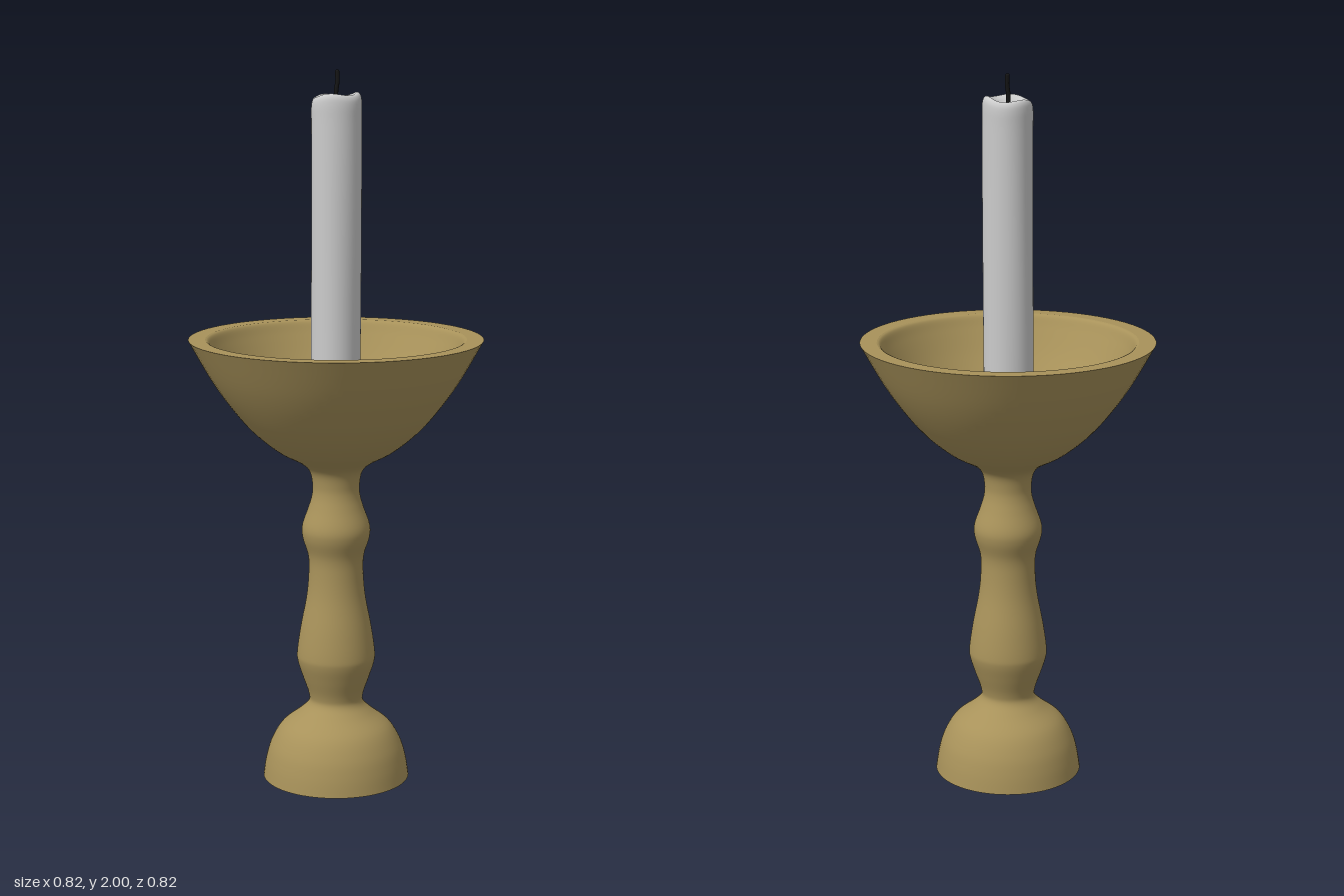
import * as THREE from 'three';

const brass = new THREE.MeshStandardMaterial({ color: 0xa8925a, side: THREE.DoubleSide });
const wax = new THREE.MeshStandardMaterial({ color: 0xcccccc });
const char = new THREE.MeshStandardMaterial({ color: 0x151515 });

// smooth turned surface through [radius, height] points
function turned(name, points, material, samples = 40, sides = 72) {
  const curve = new THREE.SplineCurve(points.map(([r, y]) => new THREE.Vector2(r, y)));
  const mesh = new THREE.Mesh(new THREE.LatheGeometry(curve.getPoints(samples), sides), material);
  mesh.name = name;
  return mesh;
}

export function createModel() {
  const model = new THREE.Group();
  model.name = 'candlestick';

  // holder: separate surfaces meet at the sharp edges
  const holder = new THREE.Group();
  holder.name = 'holder';
  holder.add(
    turned('footHollow', [[0, 0.16], [0.07, 0.15], [0.13, 0.115], [0.165, 0.06], [0.182, 0]], brass),
    turned('footRim', [[0.182, 0], [0.208, 0]], brass, 1),
    turned('footAndStem', [
      [0.208, 0], [0.2, 0.05], [0.185, 0.1], [0.155, 0.15], [0.105, 0.19], [0.078, 0.218],
      [0.078, 0.245], [0.095, 0.295], [0.109, 0.34], [0.11, 0.37], [0.1, 0.44], [0.083, 0.53],
      [0.077, 0.6], [0.079, 0.65], [0.094, 0.7], [0.095, 0.735], [0.078, 0.785], [0.068, 0.82],
      [0.066, 0.85], [0.074, 0.89], [0.1, 0.916], [0.165, 0.952], [0.235, 1.01], [0.295, 1.08],
      [0.35, 1.16], [0.409, 1.265],
    ], brass, 130),
    turned('bowlRim', [[0.409, 1.265], [0.362, 1.265]], brass, 1),
    turned('bowlInside', [
      [0.362, 1.265], [0.352, 1.258], [0.335, 1.225], [0.295, 1.155], [0.245, 1.085],
      [0.195, 1.03], [0.165, 1.007], [0.13, 1.0], [0, 1.0],
    ], brass, 60),
  );
  model.add(holder);

  // candle with a melted, uneven top and a slight lean
  const candle = turned('candle', [
    [0, 0.99], [0.069, 0.99], [0.069, 1.1], [0.069, 1.3], [0.069, 1.5], [0.069, 1.7], [0.069, 1.85],
    [0.069, 1.905], [0.065, 1.926], [0.056, 1.933], [0.045, 1.926], [0.034, 1.914], [0.016, 1.91], [0, 1.91],
  ], wax, 90, 48);
  const pos = candle.geometry.attributes.position;
  for (let i = 0; i < pos.count; i++) {
    const x = pos.getX(i), y = pos.getY(i), z = pos.getZ(i);
    const a = Math.atan2(x, z), r = Math.hypot(x, z);
    const melt = THREE.MathUtils.smoothstep(y, 1.86, 1.92) * Math.min(1, r / 0.05);
    const wobble = 1 + 0.012 * Math.sin(3 * a + y * 5);
    pos.setXYZ(i, x * wobble - 0.002,
      y + melt * (0.004 * Math.sin(a) + 0.004 * Math.sin(3 * a + 1)),
      z * wobble - 0.007 * (y - 0.99));
  }
  candle.geometry.computeVertexNormals();
  // blend normals across the lathe seam
  const nor = candle.geometry.attributes.normal, ring = 91;
  for (let j = 0; j < ring; j++) {
    const k = j + 48 * ring;
    const n = new THREE.Vector3().fromBufferAttribute(nor, j)
      .add(new THREE.Vector3().fromBufferAttribute(nor, k)).normalize();
    nor.setXYZ(j, n.x, n.y, n.z);
    nor.setXYZ(k, n.x, n.y, n.z);
  }
  model.add(candle);

  // bent wick with a closed tip
  const wickPath = new THREE.CatmullRomCurve3([
    [-0.004, 1.9, -0.01], [-0.005, 1.94, -0.008], [-0.003, 1.97, -0.012], [-0.005, 1.996, -0.014],
  ].map((p) => new THREE.Vector3(...p)));
  const wick = new THREE.Mesh(new THREE.TubeGeometry(wickPath, 12, 0.006, 10), char);
  wick.name = 'wick';
  const tip = new THREE.Mesh(new THREE.SphereGeometry(0.006, 10, 8), char);
  tip.name = 'wickTip';
  tip.position.set(-0.005, 1.994, -0.014);
  model.add(wick, tip);

  return model;
}
